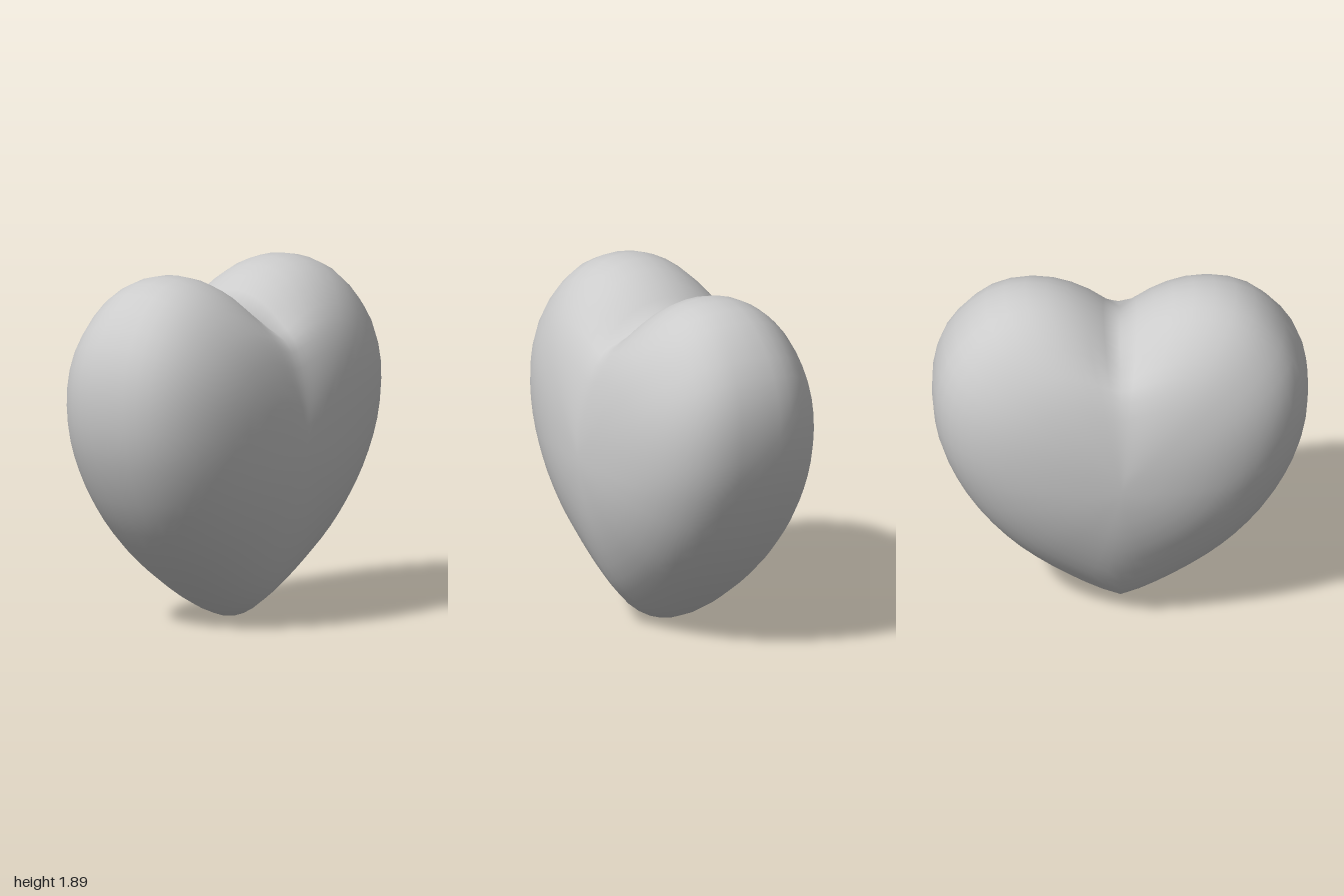
import * as THREE from 'three';

const CENTRE_Y = 0.97;
const HALF_DEPTH = 0.572;
const HALF_STEPS = 28; // outline steps from cleft to tip
const RINGS = 26;      // rings from the front pole to the back pole

// Right half of the heart outline, from cleft to tip
const HALF_OUTLINE = [
  [0, 1.68], [0.1, 1.755], [0.2, 1.82], [0.33, 1.872], [0.47, 1.892], [0.66, 1.852],
  [0.78, 1.77], [0.88, 1.66], [0.95, 1.54], [0.99, 1.4], [1, 1.25], [0.98, 1.07],
  [0.93, 0.9], [0.8, 0.64], [0.6, 0.39], [0.4, 0.22], [0.2, 0.09], [0.1, 0.038], [0, 0],
];

function heartOutline() {
  const curve = new THREE.CatmullRomCurve3(HALF_OUTLINE.map(([x, y]) => new THREE.Vector3(x, y, 0)));
  const half = curve.getSpacedPoints(HALF_STEPS);
  const mirrored = half.slice(1, -1).reverse().map((p) => new THREE.Vector3(-p.x, p.y, 0));
  return [...half, ...mirrored];
}

// Rounds the cleft and the tip away as the rings close in on the poles
function softenedY(p, s) {
  const k = 1 - THREE.MathUtils.smoothstep(s, 0.5, 0.92);
  const ax = Math.abs(p.x);
  const top = p.y > CENTRE_Y;
  const e = (top ? 0.25 : 0.12) * k;
  return p.y + (top ? 0.75 : 0.4) * (Math.hypot(ax, e) - ax);
}

function puffyHeart() {
  const outline = heartOutline();
  const n = outline.length;
  const positions = [];
  const index = [];

  // Scaled outlines swept over a rounded profile that is fuller at the sides
  for (let i = 1; i < RINGS; i++) {
    const phi = (i / RINGS) * Math.PI;
    const c = i * 2 === RINGS ? 0 : Math.cos(phi);
    for (const p of outline) {
      const power = 2 / (1.97 + 0.68 * p.x * p.x);
      const s = Math.pow(Math.sin(phi), power);
      const z = HALF_DEPTH * Math.sign(c) * Math.pow(Math.abs(c), power);
      positions.push(p.x * s, CENTRE_Y + (softenedY(p, s) - CENTRE_Y) * s, z);
    }
  }
  const front = positions.length / 3;
  const back = front + 1;
  positions.push(0, CENTRE_Y, HALF_DEPTH, 0, CENTRE_Y, -HALF_DEPTH);

  // Join the rings, then close both poles
  const last = (RINGS - 2) * n;
  for (let j = 0; j < n; j++) {
    const k = (j + 1) % n;
    for (let row = 0; row < last; row += n) {
      const a = row + j, b = row + k;
      index.push(a, b, a + n, b, b + n, a + n);
    }
    index.push(front, k, j, back, last + j, last + k);
  }

  const geometry = new THREE.BufferGeometry();
  geometry.setAttribute('position', new THREE.Float32BufferAttribute(positions, 3));
  geometry.setIndex(index);
  geometry.computeVertexNormals();
  return geometry;
}

export function createModel() {
  const group = new THREE.Group();
  group.name = 'heart';
  const body = new THREE.Mesh(puffyHeart(), new THREE.MeshStandardMaterial({ color: 0xcccccc }));
  body.name = 'heartBody';
  group.add(body);
  return group;
}
